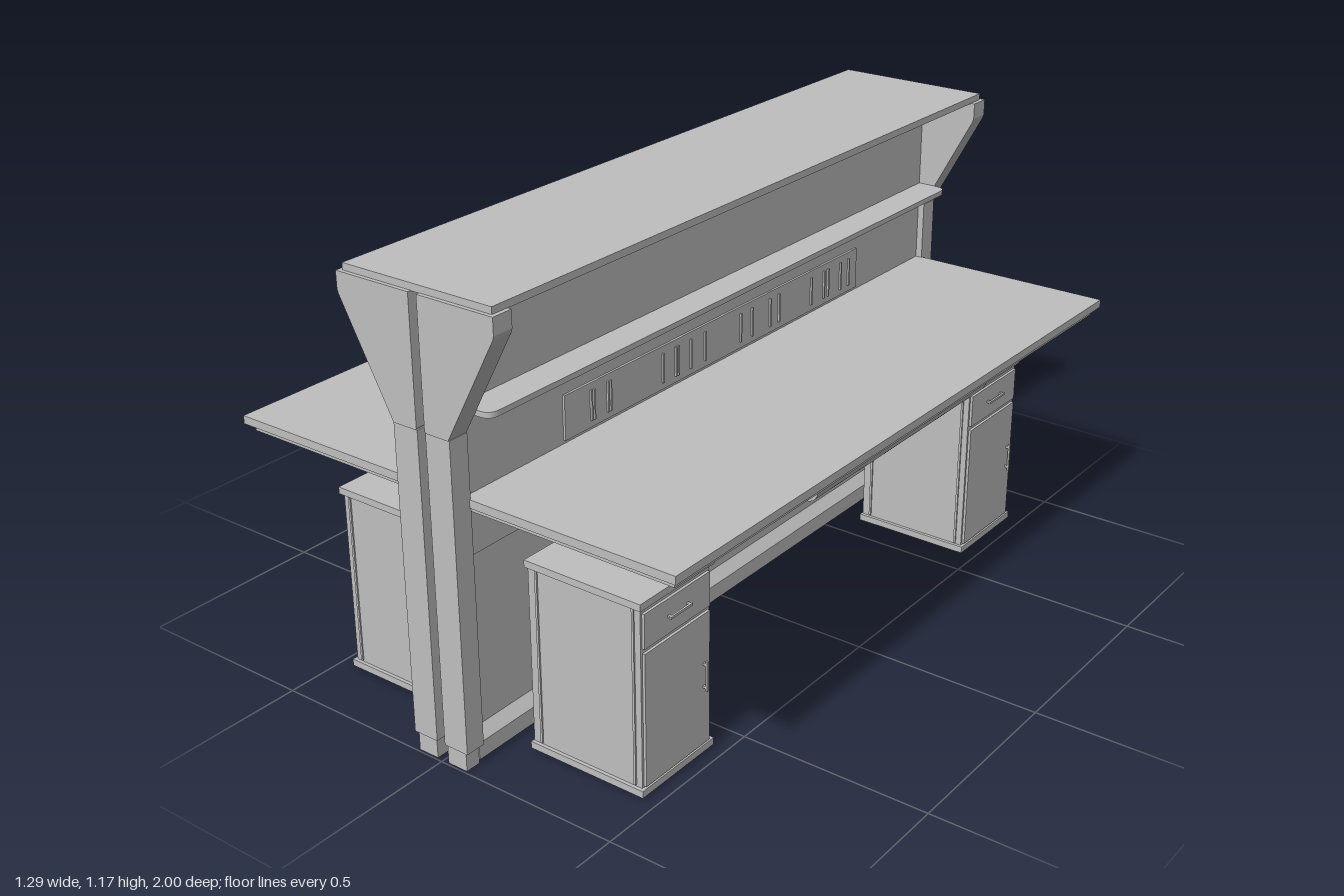
import * as THREE from 'three';

const grey = new THREE.MeshStandardMaterial({ color: 0xbfbfbf });
grey.name = 'light grey';

function add(parent, name, geometry) {
  const mesh = new THREE.Mesh(geometry, grey);
  mesh.name = name;
  parent.add(mesh);
  return mesh;
}

// Box given by its limits on each axis
function box(parent, name, [x0, x1], [y0, y1], [z0, z1]) {
  const g = new THREE.BoxGeometry(x1 - x0, y1 - y0, z1 - z0);
  g.translate((x0 + x1) / 2, (y0 + y1) / 2, (z0 + z1) / 2);
  return add(parent, name, g);
}

const polygon = points => new THREE.Shape(points.map(([x, y]) => new THREE.Vector2(x, y)));

// x/y shape extruded from z0 to z1
function prism(parent, name, shape, z0, z1) {
  const g = new THREE.ExtrudeGeometry(shape, { depth: z1 - z0, bevelEnabled: false, curveSegments: 8 });
  g.translate(0, 0, z0);
  return add(parent, name, g);
}

// Drawer cabinet, back at x = 0, front facing +x, centred on z
function makeCabinet() {
  const c = new THREE.Group();
  c.name = 'cabinet';
  box(c, 'cabinetBody', [0.003, 0.322], [0.025, 0.488], [-0.124, 0.124]);
  box(c, 'cabinetTop', [0, 0.33], [0.487, 0.505], [-0.133, 0.133]);
  box(c, 'cabinetBase', [0, 0.33], [0.008, 0.026], [-0.133, 0.133]);
  box(c, 'drawerFront', [0.32, 0.329], [0.386, 0.474], [-0.118, 0.118]);
  box(c, 'doorFront', [0.32, 0.329], [0.03, 0.374], [-0.118, 0.118]);
  // Edge strips on both side panels
  for (const s of [-1, 1]) for (const x of [0.028, 0.303]) {
    const z = [s * 0.124, s * 0.128].sort((a, b) => a - b);
    box(c, 'sideStrip', [x - 0.003, x + 0.003], [0.03, 0.485], z);
  }
  // Bar handles on two pegs
  box(c, 'drawerHandle', [0.336, 0.341], [0.428, 0.434], [-0.04, 0.04]);
  for (const z of [-0.034, 0.034])
    box(c, 'drawerHandlePeg', [0.328, 0.337], [0.428, 0.434], [z - 0.003, z + 0.003]);
  box(c, 'doorHandle', [0.336, 0.341], [0.175, 0.255], [-0.098, -0.092]);
  for (const y of [0.185, 0.245])
    box(c, 'doorHandlePeg', [0.328, 0.337], [y - 0.003, y + 0.003], [-0.098, -0.092]);
  return c;
}

// One side of the double workstation, working side facing +x
function makeHalf(cabinetX) {
  const h = new THREE.Group();

  // End posts, feet and flared brackets
  for (const s of [-1, 1]) {
    const span = (a, b) => (s > 0 ? [a, b] : [-b, -a]);
    box(h, 'foot', [0.017, 0.074], [0, 0.052], span(0.952, 0.994));
    box(h, 'post', [0.012, 0.082], [0.05, 0.84], span(0.943, 0.998));
    prism(h, 'topBracket', polygon([
      [0.012, 0.844], [0.016, 0.84], [0.08, 0.84], [0.222, 1.105],
      [0.225, 1.115], [0.225, 1.157], [0.012, 1.157],
    ]), ...span(0.943, 1));
  }

  // Centre wall and bottom rail with sloping top
  box(h, 'lowerPanel', [0.022, 0.05], [0.06, 0.535], [-0.943, 0.943]);
  box(h, 'upperPanel', [0.022, 0.064], [0.53, 1.157], [-0.943, 0.943]);
  prism(h, 'bottomRail', polygon([
    [0.022, 0.008], [0.074, 0.008], [0.074, 0.052], [0.05, 0.08], [0.022, 0.08],
  ]), -0.95, 0.95);

  // Shelf with rounded outer corners
  const shelf = new THREE.Shape();
  shelf.moveTo(0.06, -0.943);
  shelf.lineTo(0.12, -0.943);
  shelf.quadraticCurveTo(0.15, -0.943, 0.15, -0.913);
  shelf.lineTo(0.15, 0.913);
  shelf.quadraticCurveTo(0.15, 0.943, 0.12, 0.943);
  shelf.lineTo(0.06, 0.943);
  const shelfMesh = prism(h, 'shelf', shelf, 0, 0.014);
  shelfMesh.rotation.x = -Math.PI / 2;
  shelfMesh.position.y = 0.887;

  // Socket strip with narrow dividers
  box(h, 'socketStrip', [0.06, 0.07], [0.69, 0.803], [-0.612, 0.612]);
  const dividers = [0.52, 0.51, 0.46, 0.45, 0.25, 0.2, 0.19, 0.14, 0.08,
    -0.07, -0.12, -0.2, -0.24, -0.39, -0.45, -0.47, -0.53, -0.57];
  for (const z of dividers)
    box(h, 'socketDivider', [0.069, 0.075], [0.708, 0.785], [z - 0.0025, z + 0.0025]);

  // Desk top, its support slab and the round-fronted tray
  box(h, 'deskTop', [0.06, 0.643], [0.66, 0.681], [-0.947, 0.947]);
  box(h, 'deskSupport', [0.06, 0.626], [0.64, 0.661], [-0.928, 0.928]);
  const tray = new THREE.Shape();
  tray.moveTo(0.345, 0.641);
  tray.lineTo(0.345, 0.598);
  tray.lineTo(0.578, 0.598);
  tray.quadraticCurveTo(0.612, 0.6, 0.612, 0.641);
  prism(h, 'tray', tray, -0.382, 0.382);

  // Two cabinets below the desk
  for (const z of [0.71, -0.705]) {
    const c = makeCabinet();
    c.position.set(cabinetX, 0, z);
    h.add(c);
  }
  return h;
}

export function createModel() {
  const model = new THREE.Group();
  model.name = 'doubleWorkstation';

  const sideA = makeHalf(0.137);
  sideA.name = 'leftWorkstation';
  const sideB = makeHalf(0.125);
  sideB.name = 'rightWorkstation';
  sideB.rotation.y = Math.PI;
  model.add(sideA, sideB);

  // Shared canopy and its centre beam
  box(model, 'canopyTop', [-0.214, 0.214], [1.156, 1.174], [-0.99, 0.99]);
  box(model, 'centreBeam', [-0.022, 0.022], [1.113, 1.157], [-0.942, 0.942]);
  return model;
}
